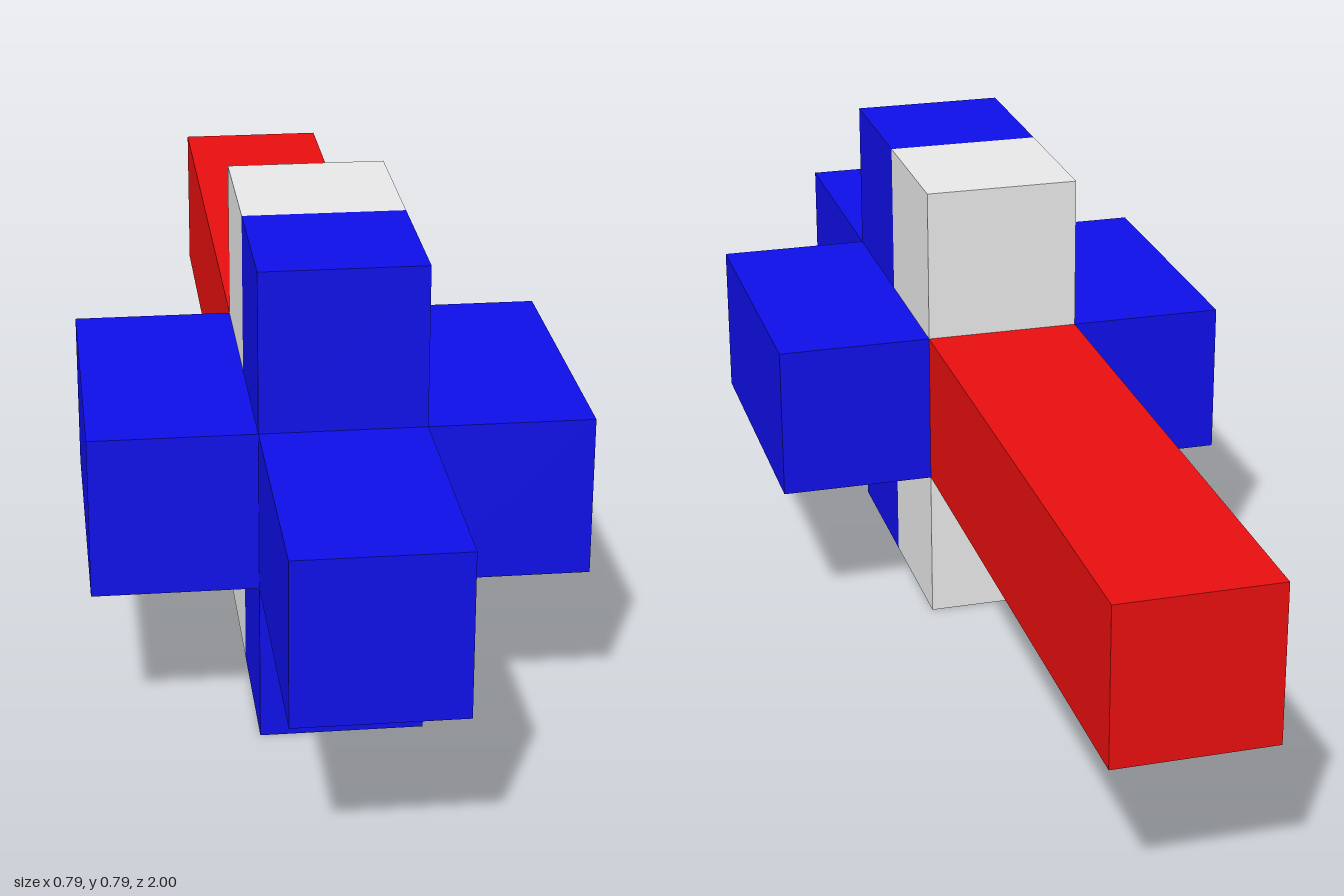
import * as THREE from 'three';

export function createModel() {
  const model = new THREE.Group();
  const material = (name, color) => {
    const m = new THREE.MeshStandardMaterial({ color });
    m.name = name;
    return m;
  };
  const blue = material('blue', 0xe7 + 0x0f0f00);
  const red = material('red', 0xe70f0f);
  const grey = material('light grey', 0xe7e7e7);

  const U = 0.2625;              // thickness of every bar
  const MID = 1.5 * U;           // height of the centre line
  const BACK = 0.035;            // back of the cross
  const HALF = BACK + U;         // blue and grey meet here
  const FRONT = BACK + 2 * U;    // front of the cross

  // Square bar running from z0 to z1
  function bar(name, mat, x, y, z0, z1) {
    const mesh = new THREE.Mesh(new THREE.BoxGeometry(U, U, z1 - z0), mat);
    mesh.name = name;
    mesh.position.set(x, y, (z0 + z1) / 2);
    model.add(mesh);
  }

  // Long bars along the axis
  bar('nose', blue, 0, MID, FRONT, 1);
  bar('tail', red, 0, MID, -1, BACK);

  // Side arms
  bar('leftArm', blue, U, MID, BACK, FRONT);
  bar('rightArm', blue, -U, MID, BACK, FRONT);

  // Upper and lower arms, blue in front and grey behind
  for (const [name, side] of [['upper', 1], ['lower', -1]]) {
    bar(name + 'ArmFront', blue, 0, MID + side * U, HALF, FRONT);
    bar(name + 'ArmBack', grey, 0, MID + side * U, BACK, HALF);
  }
  return model;
}
